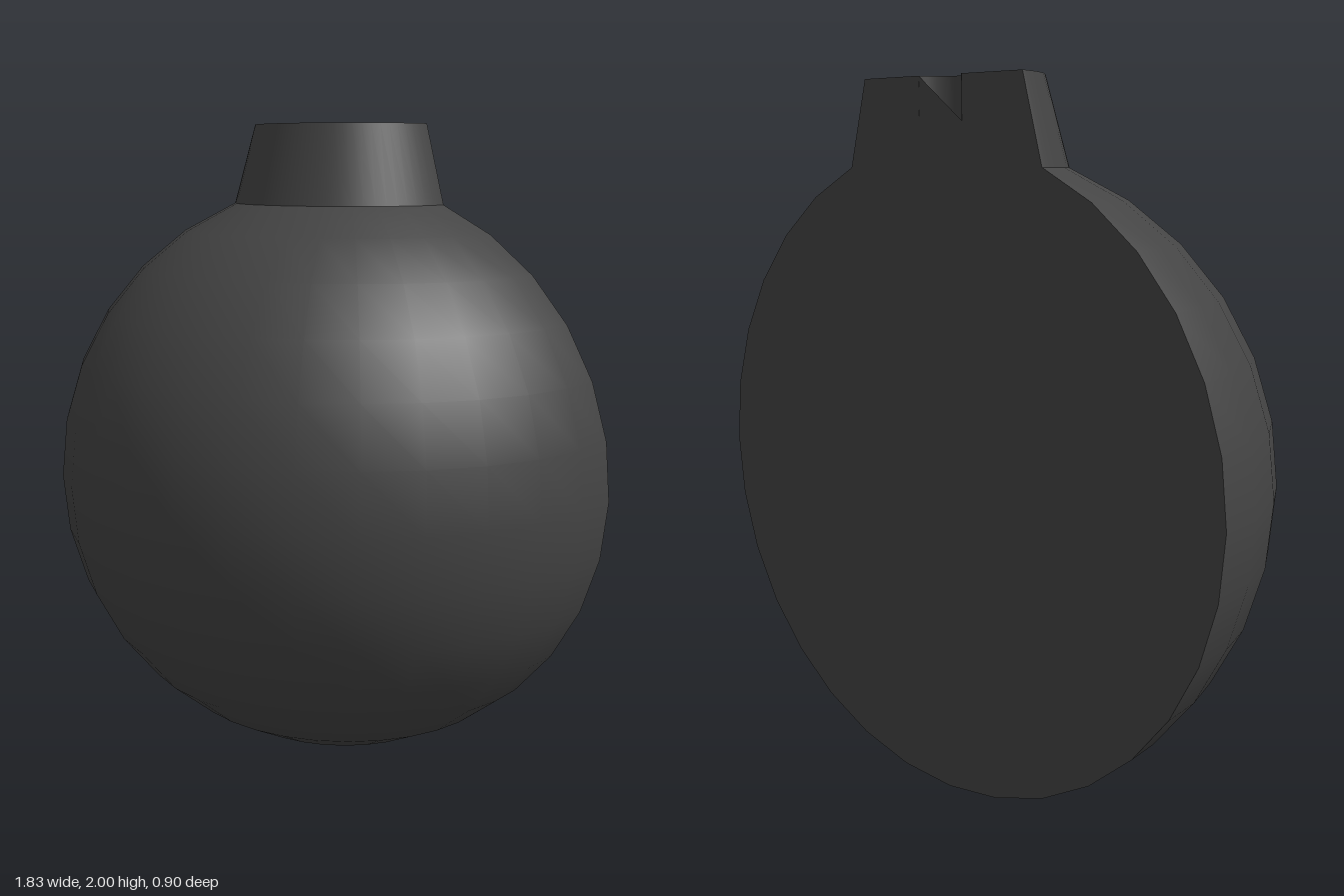
import * as THREE from 'three';

const R = 0.915;          // ball radius, also the height of its centre
const CUT = 0.014;        // the cut plane lies slightly in front of the axis
const TOP = 2;
const NECK_TOP = 0.287;
const HOLE = 0.078;
const HOLE_DEPTH = 0.12;

const material = new THREE.MeshStandardMaterial({ color: 0x444444 });

// Half a turned solid, with its open edge trimmed to the cut plane
function halfLathe(name, points, segments) {
  const geometry = new THREE.LatheGeometry(points, segments, -Math.PI / 2, Math.PI);
  const p = geometry.attributes.position;
  for (let i = 0; i < p.count; i++) p.setZ(i, Math.max(p.getZ(i), CUT));
  const mesh = new THREE.Mesh(geometry, material);
  mesh.name = name;
  return mesh;
}

export function createModel() {
  const model = new THREE.Group();
  model.name = 'halfBauble';
  const v = (x, y) => new THREE.Vector2(x, y);

  // Ball, from the bottom pole up to the neck, in steps of 1/16 of a half turn
  const ball = [];
  for (let i = 0; i <= 14; i++) {
    const a = (i * Math.PI) / 16;
    ball.push(v(R * Math.sin(a), R - R * Math.cos(a)));
  }
  model.add(halfLathe('ball', ball, 16));

  // Neck, its flat top and the hanging hole
  const neckBase = ball[ball.length - 1];
  model.add(
    halfLathe('neck', [neckBase, v(NECK_TOP, TOP)], 32),
    halfLathe('neckTop', [v(NECK_TOP, TOP), v(HOLE, TOP)], 32),
    halfLathe('holeWall', [v(HOLE, TOP), v(HOLE, TOP - HOLE_DEPTH)], 32),
    halfLathe('holeFloor', [v(HOLE, TOP - HOLE_DEPTH), v(0, TOP - HOLE_DEPTH)], 32)
  );

  // Flat back with a slanted notch at the hole
  const side = [...ball.slice(1), v(NECK_TOP, TOP)];
  const outline = [
    v(0, 0),
    ...side,
    v(HOLE, TOP), v(HOLE, TOP - HOLE_DEPTH), v(-HOLE, TOP),
    ...side.map((p) => v(-p.x, p.y)).reverse()
  ];
  const back = new THREE.Mesh(new THREE.ShapeGeometry(new THREE.Shape(outline)), material);
  back.name = 'flatBack';
  back.rotation.y = Math.PI;
  back.position.z = CUT;
  model.add(back);

  // Centre the depth on z = 0
  model.position.z = -(R + CUT) / 2;
  return model;
}
